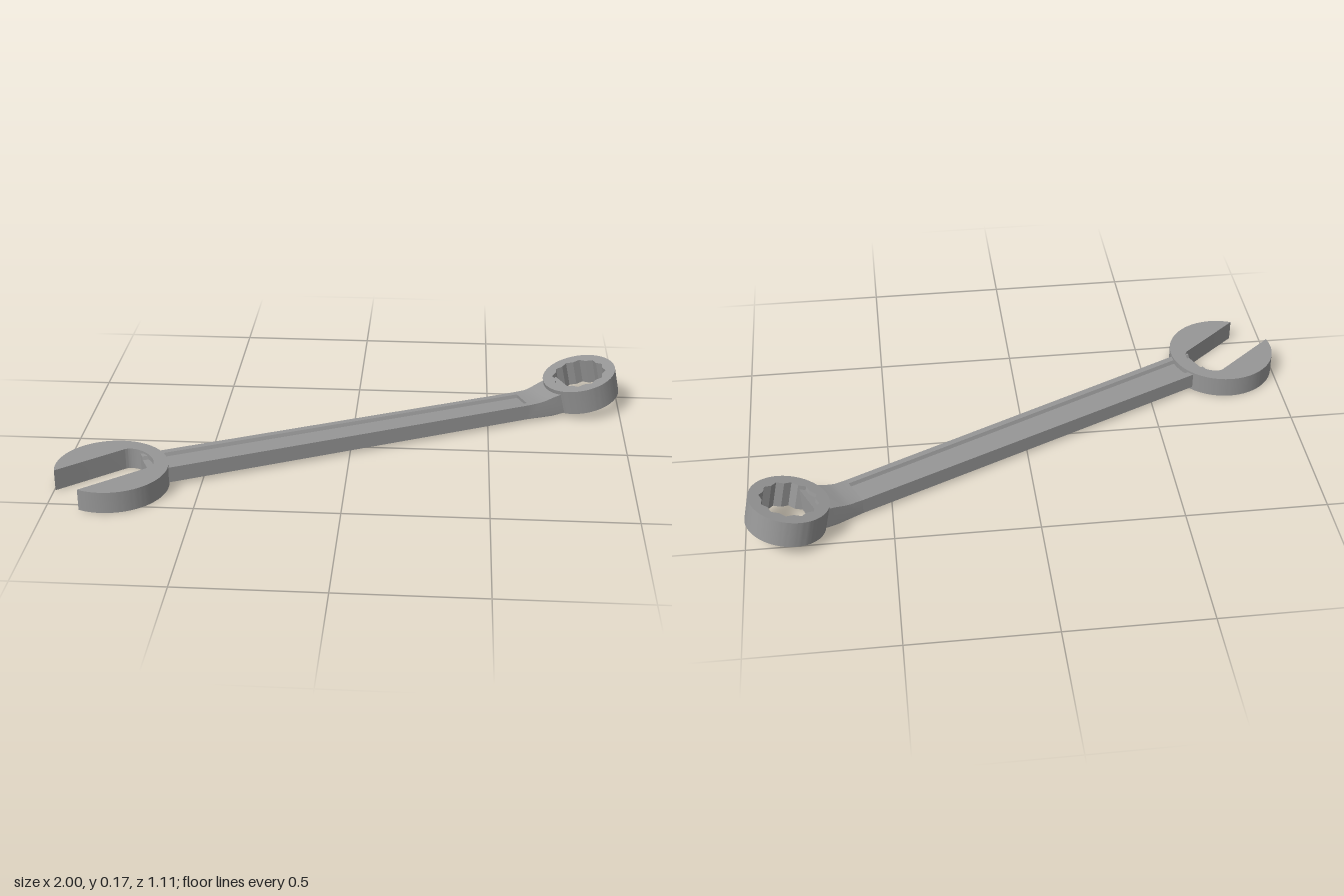
import * as THREE from 'three';
import { toCreasedNormals } from 'three/addons/utils/BufferGeometryUtils.js';

const steel = new THREE.MeshStandardMaterial({ color: 0x969696 });
steel.name = 'steel';

const outline = (pts) => new THREE.Shape(pts.map(([x, y]) => new THREE.Vector2(x, y)));
const extrude = (shape, depth) =>
  new THREE.ExtrudeGeometry(shape, { depth, bevelEnabled: false, curveSegments: 64 });

function part(name, geometry) {
  const mesh = new THREE.Mesh(toCreasedNormals(geometry, 0.45), steel);
  mesh.name = name;
  return mesh;
}

// Half width of the shank along its length: slight taper, then a flare into the ring
function halfWidth(x) {
  if (x < 0.745) return THREE.MathUtils.mapLinear(x, -0.76, 0.745, 0.07, 0.063);
  return THREE.MathUtils.mapLinear(x, 0.745, 0.875, 0.063, 0.075);
}

// Scales a unit half-width geometry across the shank
function applyWidth(geometry) {
  const p = geometry.attributes.position;
  for (let i = 0; i < p.count; i++) p.setZ(i, p.getZ(i) * halfWidth(p.getX(i)));
  return geometry;
}

// Open jaw: disc with a slot and a rounded throat, opening towards -x
function openJaw() {
  const r = 0.196, slot = 0.086, throat = 0.097;
  const a = Math.PI - Math.asin(slot / r);
  const s = new THREE.Shape();
  s.absarc(0, 0, r, a, -a, true);
  s.lineTo(throat, -slot);
  s.absellipse(throat, 0, 0.05, slot, -Math.PI / 2, Math.PI / 2, false);
  s.closePath();
  const mesh = part('openJaw', extrude(s, 0.077).rotateX(-Math.PI / 2));
  mesh.position.x = -0.88;
  mesh.rotation.y = THREE.MathUtils.degToRad(15);
  return mesh;
}

// Handle: flat bar with a shallow channel above and below
function handle() {
  const y0 = 0.012, y1 = 0.069, d = 0.012;
  const section = outline([
    [-1, y0], [-0.66, y0], [-0.57, y0 + d], [0.57, y0 + d], [0.66, y0], [1, y0],
    [1, y1], [0.66, y1], [0.57, y1 - d], [-0.57, y1 - d], [-0.66, y1], [-1, y1],
  ]);
  const g = extrude(section, 1.46).rotateY(Math.PI / 2).translate(-0.76, 0, 0);
  return part('handle', applyWidth(g));
}

// Neck: side profile that bends up into the ring
function neck() {
  const side = outline([
    [0.70, 0.012], [0.745, 0.01], [0.80, 0.011], [0.84, 0.017], [0.875, 0.026],
    [0.875, 0.106], [0.84, 0.098], [0.80, 0.087], [0.77, 0.077], [0.745, 0.071], [0.70, 0.069],
  ]);
  return part('neck', applyWidth(extrude(side, 2).translate(0, 0, -1)));
}

// Ring: tilted collar with a twelve-point socket
function ring() {
  const h = 0.097, r = 0.102;
  const s = new THREE.Shape();
  s.absarc(0, 0, 0.138, 0, Math.PI * 2, false);
  const star = [];
  for (let i = 0; i < 24; i++) {
    const k = i % 2 ? r * 0.897 : r;
    const a = (i * Math.PI) / 12;
    star.push(new THREE.Vector2(Math.cos(a) * k, Math.sin(a) * k));
  }
  s.holes.push(new THREE.Path(star));
  const mesh = part('ring', extrude(s, h).translate(0, 0, -h / 2).rotateX(-Math.PI / 2));
  mesh.position.set(0.95, 0.089, 0);
  mesh.rotation.z = THREE.MathUtils.degToRad(13);
  return mesh;
}

export function createModel() {
  const group = new THREE.Group();
  const wrench = new THREE.Group();
  wrench.name = 'combinationWrench';
  wrench.add(openJaw(), handle(), neck(), ring());
  wrench.rotation.y = THREE.MathUtils.degToRad(25);
  wrench.position.set(-0.008, 0, -0.016);
  group.add(wrench);
  return group;
}
